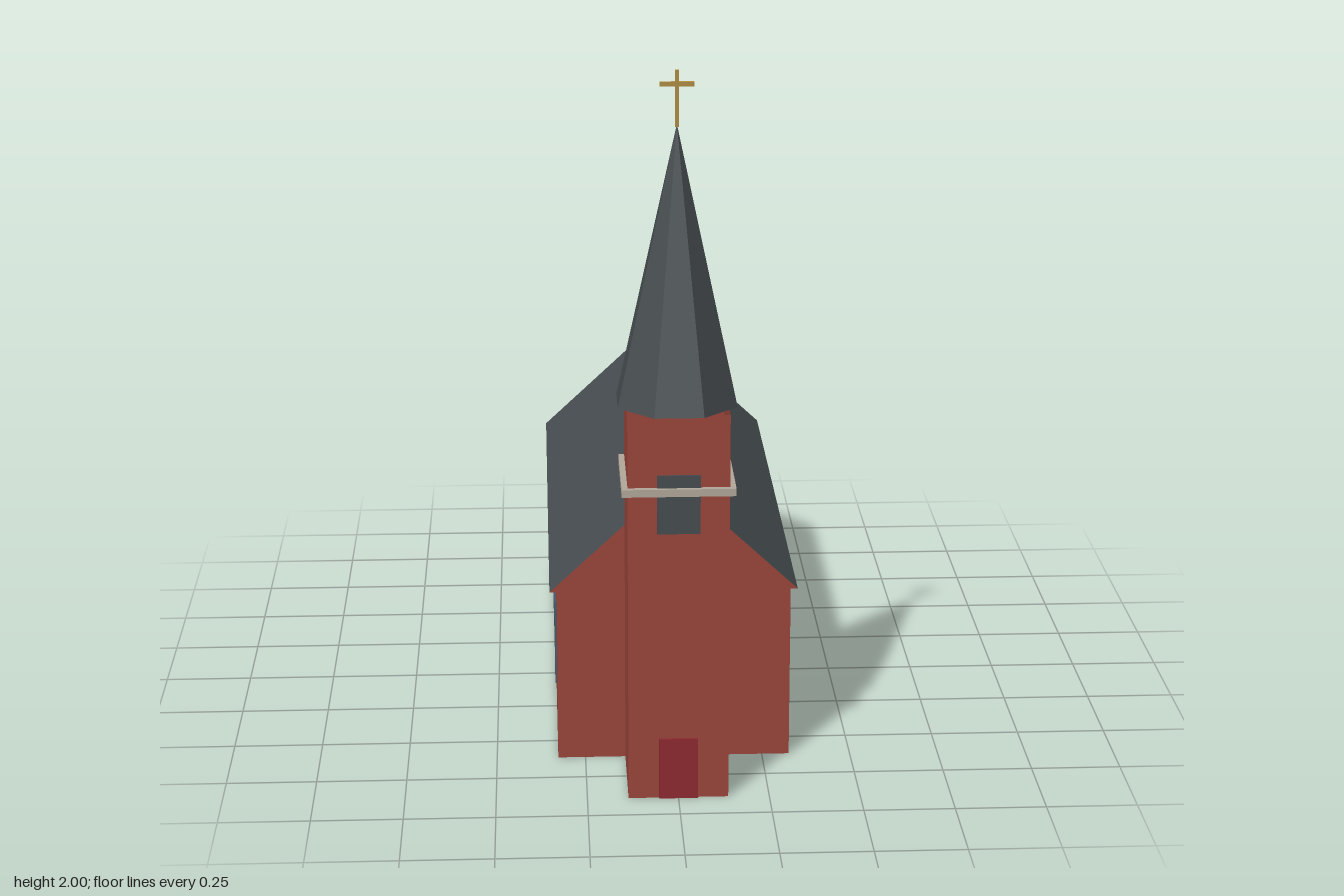
import * as THREE from 'three';

const mat = (name, color, extra = {}) => {
  const m = new THREE.MeshStandardMaterial({ color, ...extra });
  m.name = name;
  return m;
};

export function createModel() {
  const brick = mat('brick', 0x9b463b, { side: THREE.DoubleSide, flatShading: true });
  const slate = mat('slate', 0x474d51, { side: THREE.DoubleSide, flatShading: true });
  const glass = mat('glass', 0x4a5c6e);
  const doorRed = mat('doorRed', 0x8f2a30);
  const stone = mat('stone', 0xb2a99a);
  const brass = mat('brass', 0xb08d42);

  const church = new THREE.Group();
  church.name = 'church';
  const add = (name, geometry, material, x, y, z) => {
    const mesh = new THREE.Mesh(geometry, material);
    mesh.name = name;
    mesh.position.set(x, y, z);
    church.add(mesh);
    return mesh;
  };
  const box = (name, material, w, h, d, x, y, z) =>
    add(name, new THREE.BoxGeometry(w, h, d), material, x, y, z);

  // Four walls of a box, open at top and bottom
  const walls = (w, h, d) => {
    const g = new THREE.BoxGeometry(w, h, d);
    const index = Array.from(g.index.array);
    index.splice(12, 12);
    g.setIndex(index);
    g.clearGroups();
    return g;
  };

  // Nave
  const back = -0.917, front = 0.617, length = front - back;
  const eaves = 0.5, halfWidth = 0.327;
  add('naveWalls', walls(halfWidth * 2, eaves, length), brick, 0, eaves / 2, (front + back) / 2);

  // Roof prism with brick gables
  const gable = new THREE.Shape([
    new THREE.Vector2(-0.347, 0),
    new THREE.Vector2(0.347, 0),
    new THREE.Vector2(0, 0.325),
  ]);
  const roof = new THREE.ExtrudeGeometry(gable, { depth: length, bevelEnabled: false });
  add('naveRoof', roof, [brick, slate], 0, eaves, back);

  // Nave windows, five on each side
  for (const side of [-1, 1]) {
    for (let i = 0; i < 5; i++) {
      box('naveWindow', glass, 0.006, 0.25, 0.094, side * (halfWidth + 0.002), 0.263, 0.357 - i * 0.275);
    }
  }

  // Tower with its door, window and stone band
  const towerZ = 0.757, towerHalf = 0.137, towerTop = 1.1;
  add('towerWalls', walls(towerHalf * 2, towerTop, towerHalf * 2), brick, 0, towerTop / 2, towerZ);
  box('door', doorRed, 0.106, 0.176, 0.0095, 0, 0.088, towerZ + towerHalf + 0.002);
  box('towerWindow', slate, 0.116, 0.165, 0.008, 0, 0.852, towerZ + towerHalf + 0.001);
  box('towerBand', stone, 0.306, 0.021, 0.306, 0, 0.889, towerZ);

  // Eight-sided spire, flat side to the front
  const spireHeight = 0.757;
  const spire = new THREE.ConeGeometry(0.16 / Math.cos(Math.PI / 8), spireHeight, 8, 1, false, Math.PI / 8);
  add('spire', spire, slate, 0, towerTop + spireHeight / 2, towerZ);

  // Cross on the spire
  box('crossPost', brass, 0.01, 0.15, 0.01, 0, 1.925, towerZ);
  box('crossBar', brass, 0.09, 0.012, 0.01, 0, 1.963, towerZ);

  return church;
}
